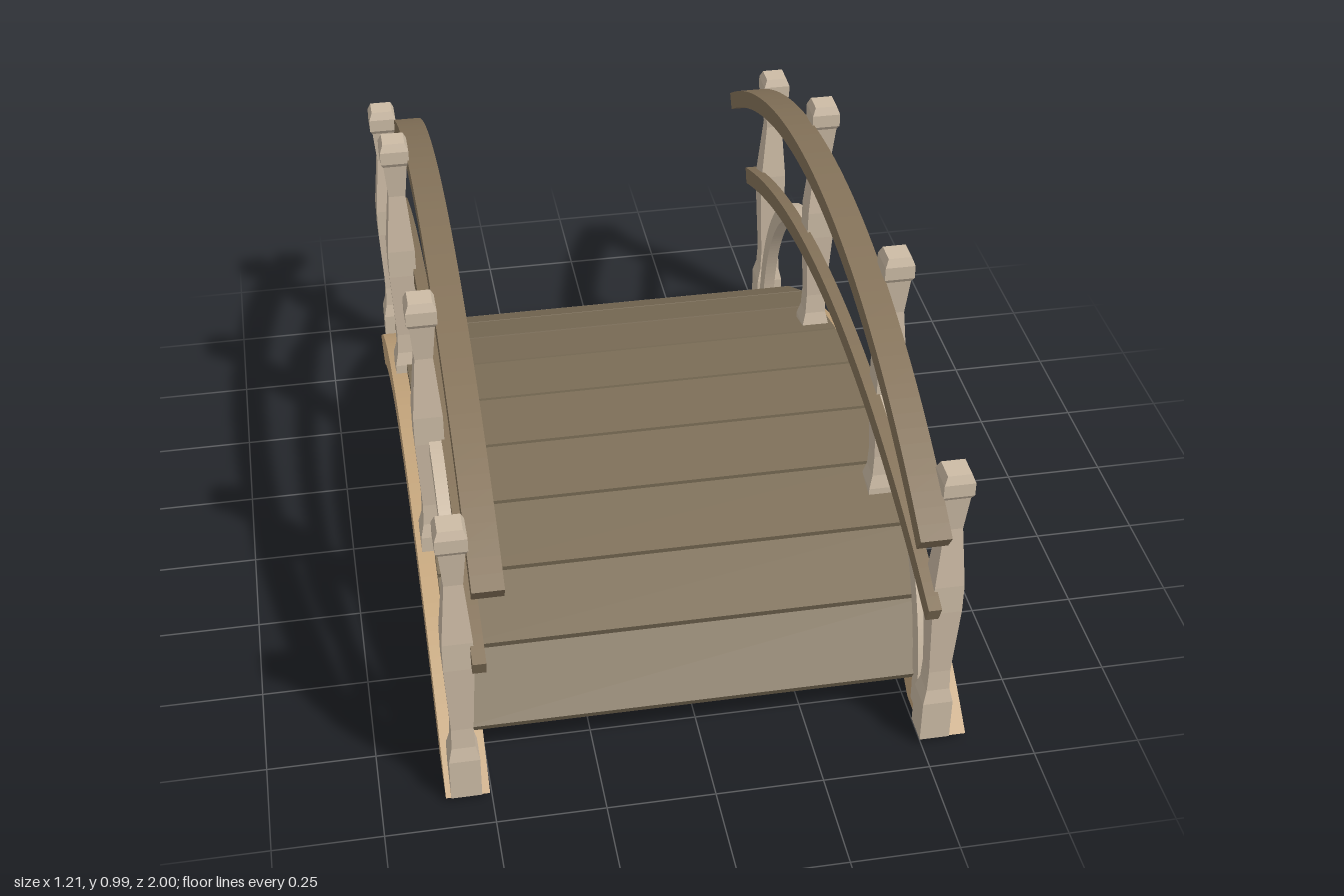
import * as THREE from 'three';

const mat = (color) => new THREE.MeshStandardMaterial({ color, flatShading: true });
const beamMat = mat(0xc4a57c), railMat = mat(0x85735a), plankMat = mat(0x7d6f58), postMat = mat(0xccbba5);

// Extrude a (z, y) shape along x, centred on x = 0
function extrudeX(shape, width) {
  const geo = new THREE.ExtrudeGeometry(shape, { depth: width, bevelEnabled: false, curveSegments: 28 });
  geo.translate(0, 0, -width / 2);
  geo.rotateY(-Math.PI / 2);
  return geo;
}

// Curved bar about (0, cy): outer radius and half-angle, inner radius and half-angle
function archBar(cy, rOut, aOut, rIn, aIn, width) {
  const up = Math.PI / 2;
  const s = new THREE.Shape();
  s.absarc(0, cy, rOut, up - aOut, up + aOut, false);
  s.absarc(0, cy, rIn, up + aIn, up - aIn, true);
  s.closePath();
  return extrudeX(s, width);
}

export function createModel() {
  const model = new THREE.Group();
  const add = (name, geo, material, x = 0, y = 0, z = 0) => {
    const m = new THREE.Mesh(geo, material);
    m.name = name;
    m.position.set(x, y, z);
    model.add(m);
    return m;
  };

  // Arched side beams, cut level at the ground
  const cy = -1.135, rTop = 1.47, rBottom = 1.385, ground = 0.007;
  const cut = (r) => Math.acos((ground - cy) / r);
  const beamGeo = archBar(cy, rTop, cut(rTop), rBottom, cut(rBottom), 0.1);

  // Hand rails
  const railGeo = archBar(0.965 - 1.84, 1.84, Math.asin(1 / 1.84), 1.795, Math.asin(1 / 1.84), 0.07);
  const lowerA = Math.asin(0.968 / 2.45);
  const lowerRailGeo = archBar(0.64 - 2.45, 2.45, lowerA, 2.405, lowerA, 0.03);

  // Quarter-ellipse brace from post foot to middle post
  const b = new THREE.Shape();
  b.absellipse(0.36, 0.035, 0.5, 0.572, 0, Math.PI / 2, false);
  b.absellipse(0.36, 0.035, 0.455, 0.53, Math.PI / 2, 0, true);
  b.closePath();
  const braceGeo = extrudeX(b, 0.03);

  // Square turned post
  const profile = [[0, 0], [0.035, 0], [0.035, 0.11], [0.027, 0.145], [0.025, 0.2], [0.034, 0.385],
    [0.034, 0.46], [0.021, 0.615], [0.029, 0.705], [0.035, 0.715], [0.035, 0.748], [0.027, 0.768], [0, 0.768]];
  const postGeo = new THREE.LatheGeometry(
    profile.map(([r, y]) => new THREE.Vector2(r * Math.SQRT2, y)), 4, Math.PI / 4);

  // The railings sit slightly off the centre line
  const axis = -0.014;
  for (const [side, sx] of [['left', 1], ['right', -1]]) {
    add(side + 'Beam', beamGeo, beamMat, sx * 0.555);
    add(side + 'HandRail', railGeo, railMat, axis + sx * 0.478);
    add(side + 'LowerRail', lowerRailGeo, railMat, axis + sx * 0.502);
    for (const [end, sz] of [['Front', 1], ['Back', -1]]) {
      const px = axis + sx * 0.544;
      add(side + end + 'OuterPost', postGeo, postMat, px, ground, sz * 0.893);
      add(side + end + 'InnerPost', postGeo, postMat, px, 0.214, sz * 0.355);
      const brace = add(side + end + 'Brace', braceGeo, postMat, axis + sx * 0.531);
      if (sz < 0) brace.rotation.y = Math.PI;
    }
  }

  // Deck planks laid along the arch
  const step = THREE.MathUtils.degToRad(7.37), first = THREE.MathUtils.degToRad(33.5);
  const plankGeo = new THREE.BoxGeometry(1.14, 0.026, 0.183);
  for (let i = 0; i < 10; i++) {
    const a = first - (i + 0.5) * step, r = rTop + 0.011;
    const plank = add('plank' + (i + 1), plankGeo, plankMat, 0.005, cy + r * Math.cos(a), r * Math.sin(a));
    plank.rotation.x = a;
  }
  return model;
}
